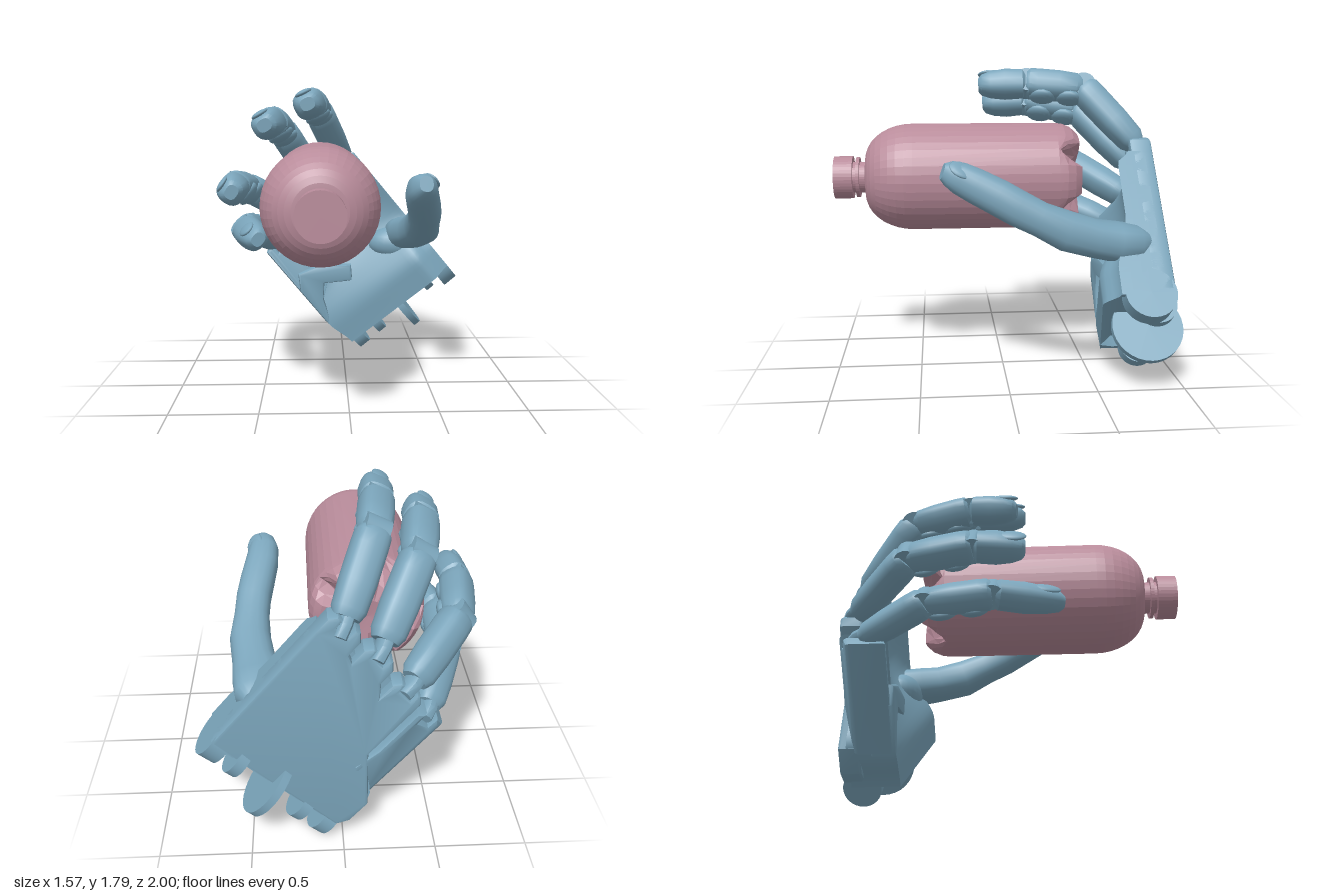
import * as THREE from 'three';
import { toCreasedNormals } from 'three/addons/utils/BufferGeometryUtils.js';

const handMat = new THREE.MeshStandardMaterial({ color: 0x7ba5bb });
const bottleMat = new THREE.MeshStandardMaterial({ color: 0xb98c9b });
const V = (x, y, z) => new THREE.Vector3(x, y, z);
const { lerp, smoothstep } = THREE.MathUtils;

function add(parent, name, geo, mat = handMat, crease = 0.6) {
  const mesh = new THREE.Mesh(toCreasedNormals(geo, crease), mat);
  mesh.name = name;
  parent.add(mesh);
  return mesh;
}

// Skin of rounded-box rings; stations are [centre, halfWidth, halfHeight], side is the width direction
function loft(stations, side, n = 20, power = 0.75) {
  const pos = [], idx = [], last = stations.length - 1;
  const bend = (c) => Math.sign(c) * Math.abs(c) ** power;
  stations.forEach(([p, w, h], i) => {
    const T = stations[Math.min(i + 1, last)][0].clone().sub(stations[Math.max(i - 1, 0)][0]).normalize();
    const N = side.clone().addScaledVector(T, -side.dot(T)).normalize();
    const B = T.clone().cross(N);
    for (let j = 0; j < n; j++) {
      const a = (j / n) * Math.PI * 2;
      const q = p.clone().addScaledVector(N, w * bend(Math.cos(a))).addScaledVector(B, h * bend(Math.sin(a)));
      pos.push(q.x, q.y, q.z);
    }
  });
  const c0 = pos.length / 3;
  for (const i of [0, last]) pos.push(...stations[i][0].toArray());
  for (let j = 0; j < n; j++) {
    const k = (j + 1) % n;
    for (let i = 0; i < last; i++) {
      const a = i * n + j, b = i * n + k;
      idx.push(a, b, b + n, a, b + n, a + n);
    }
    idx.push(c0, k, j, c0 + 1, last * n + j, last * n + k);
  }
  const geo = new THREE.BufferGeometry();
  geo.setAttribute('position', new THREE.Float32BufferAttribute(pos, 3));
  geo.setIndex(idx);
  return geo;
}

// Extruded bevelled plate between two depths, optionally tilted across the hand
function plate(points, z0, z1, tilt = 0, bevel = 0.018) {
  const shape = new THREE.Shape(points.map(([x, y]) => new THREE.Vector2(x, y)));
  const geo = new THREE.ExtrudeGeometry(shape, {
    depth: z1 - z0 - 2 * bevel, bevelThickness: bevel, bevelSize: bevel, bevelOffset: -bevel, bevelSegments: 2,
  });
  return geo.translate(0, 0, z0 + bevel).applyMatrix4(new THREE.Matrix4().makeShear(0, tilt, 0, 0, 0, 0));
}

// Flat oval nail, lying along T with its face towards up
function addNail(parent, at, T, up, w, len) {
  const nail = add(parent, 'nail', new THREE.SphereGeometry(1, 16, 10), handMat, 1);
  const S = T.clone().cross(up).normalize();
  const U = S.clone().cross(T).normalize();
  const m = new THREE.Matrix4().makeBasis(S, U, T.clone().negate()).scale(V(w, 0.018, len)).setPosition(at);
  nail.applyMatrix4(m);
}

// Jointed finger through base, two knuckles and tip
function addFinger(parent, name, pts, scale) {
  const g = new THREE.Group();
  g.name = name;
  parent.add(g);
  const p = pts.map((a) => V(...a));
  const side = V(p[1].y - p[0].y, p[0].x - p[1].x, 0).normalize();
  const start = p[0].clone().lerp(p[1], 0.06);
  const W = 0.095 * scale, H = 0.09 * scale;
  // tongue that enters the slot of the hand
  add(g, 'knuckleTongue', loft([[p[0].clone().lerp(p[1], -0.14), 0.035, 0.04], [p[0], 0.04, 0.06],
    [p[0].clone().lerp(p[1], 0.3), 0.04, 0.05]], side, 12));
  // profiles: [position along, width factor, height factor]
  const body = [[0.01, 0.74, 0.62], [0.1, 0.93, 0.86], [0.4, 1, 0.97], [0.8, 1, 1], [0.94, 0.98, 0.97], [0.995, 0.85, 0.8]];
  const tip = [[0.02, 0.75, 0.7], [0.08, 0.94, 0.92], [0.45, 0.99, 0.96], [0.75, 0.88, 0.83], [0.93, 0.7, 0.64], [1, 0.45, 0.4]];
  ['proximalSegment', 'middleSegment', 'fingertip'].forEach((label, i) => {
    const a = i ? p[i] : start, b = p[i + 1];
    add(g, label, loft((i === 2 ? tip : body).map(([f, w, h]) => [a.clone().lerp(b, f), W * w, H * h]), side));
    const T = b.clone().sub(a).normalize(), up = T.clone().cross(side);
    if (i === 2) addNail(g, a.clone().lerp(b, 0.73).addScaledVector(up, H * 0.77), T, up, W * 0.55, 0.08);
    // soft pads on the gripping side
    else if (i === 1) for (const f of [0.22, 0.7]) {
      const pad = add(g, 'pad', new THREE.SphereGeometry(1, 14, 10), handMat, 1);
      pad.applyMatrix4(new THREE.Matrix4().makeBasis(side, up, T).scale(V(W * 0.85, 0.04, 0.085))
        .setPosition(a.clone().lerp(b, f).addScaledVector(up, -H * 0.82)));
    }
  });
  // hinge barrels between the segments
  for (const q of [p[1], p[2]]) {
    const pin = add(g, 'hinge', new THREE.CylinderGeometry(H * 0.8, H * 0.8, W * 1.4, 18));
    pin.quaternion.setFromUnitVectors(V(0, 1, 0), side);
    pin.position.copy(q);
  }
}

function addPalm(parent) {
  // local frame: x across towards the thumb, y towards the fingers
  const palm = new THREE.Group();
  palm.name = 'palm';
  palm.position.set(0.06, 0.09, 0);
  palm.rotation.z = 0.693;
  parent.add(palm);

  // back plate with a rounded lobe under each finger
  const outline = [[0, 0.03], [0.84, 0.03]];
  for (const [c, w, top] of [[0.735, 0.105, 1.02], [0.5, 0.095, 1.0], [0.265, 0.095, 0.94]]) {
    outline.push([c + w, top - 0.13], [c + w, top - 0.04], [c + w - 0.035, top], [c + 0.04, top], [c + 0.035, top - 0.05],
      [c - 0.035, top - 0.05], [c - 0.04, top], [c - w + 0.035, top], [c - w, top - 0.04], [c - w, top - 0.13]);
  }
  outline.push([0.17, 0.5], [-0.04, 0.25], [-0.04, 0.1]);
  add(palm, 'backPlate', plate(outline, -0.93, -0.8, 0.075));

  // fleshy front: thick heel mound, dished centre, thinner towards the knuckles, hollowed wrist end
  const body = new THREE.BoxGeometry(1, 1, 1, 28, 28, 4);
  const p = body.attributes.position;
  for (let i = 0; i < p.count; i++) {
    const X = p.getX(i) + 0.5, s = (p.getY(i) + 0.5) * 0.9;
    const left = lerp(-0.04 * smoothstep(s, 0, 0.2), 0.18, smoothstep(s, 0.25, 0.5));
    const t = lerp(left, 0.84, X);
    const heel = (0.05 + 0.13 * Math.min(X, 0.84)) * (1 - smoothstep(s, 0.15, 0.5));
    const edge = 0.08 * smoothstep(X, 0.84, 1) * (1 - smoothstep(s, 0.2, 0.5));
    const dish = 0.08 * Math.sin(Math.PI * X) * smoothstep(s, 0.35, 0.65);
    const front = -0.65 + heel - edge - dish - 0.07 * smoothstep(s, 0.82, 0.9);
    const hollow = s === 0 && X > 0.05 && X < 0.95 && Math.abs(p.getZ(i)) < 0.3 ? 0.06 : 0;
    p.setXYZ(i, t, s + hollow, lerp(-0.88 + 0.075 * t, front, p.getZ(i) + 0.5));
  }
  add(palm, 'palmFlesh', body, handMat, 0.7);

  // little-finger bar, tilted forwards, with a forked end and a hooked foot
  add(palm, 'littleFingerBar', plate([[-0.05, 0.22], [0.08, 0.2], [0.18, 0.4], [0.14, 0.55], [0.14, 0.85], [0.09, 0.87],
    [0.085, 0.8], [0.015, 0.8], [0.01, 0.87], [-0.05, 0.85]], -0.86, -0.63, -0.4, 0.025));
  add(palm, 'barFoot', plate([[-0.045, 0.2], [-0.01, 0.22], [0.044, 0.36], [0.116, 0.437], [0.275, 0.33], [0.338, 0.42],
    [0.162, 0.556], [0.02, 0.6], [-0.045, 0.5]], -0.75, -0.6));

  // wrist hinge tabs and the larger wheel: [across, along, depth, radius, width]
  for (const [t, s, z, r, w] of [[0.04, -0.01, -0.82, 0.11, 0.08], [0.2, -0.01, -0.82, 0.11, 0.06],
    [0.65, 0.01, -0.8, 0.11, 0.06], [0.79, 0.01, -0.73, 0.14, 0.1], [0.42, -0.03, -0.795, 0.205, 0.045]]) {
    const tab = add(palm, r > 0.2 ? 'wristWheel' : 'wristTab', new THREE.CylinderGeometry(r, r, w, 32));
    tab.rotation.z = Math.PI / 2;
    tab.position.set(t, s, z);
  }
}

function addThumb(parent) {
  const g = new THREE.Group();
  g.name = 'thumb';
  parent.add(g);
  const st = [[0.41, 0.85, -0.76, 0.1, 0.06], [0.42, 0.845, -0.7, 0.14, 0.1], [0.44, 0.855, -0.58, 0.14, 0.11],
    [0.465, 0.88, -0.46, 0.12, 0.105], [0.49, 0.93, -0.3, 0.115, 0.11], [0.485, 0.995, -0.16, 0.1, 0.095],
    [0.475, 1.055, -0.04, 0.1, 0.1], [0.455, 1.11, 0.06, 0.1, 0.1], [0.43, 1.17, 0.18, 0.097, 0.096],
    [0.42, 1.215, 0.27, 0.088, 0.088], [0.425, 1.24, 0.325, 0.07, 0.07], [0.43, 1.252, 0.36, 0.04, 0.045]];
  add(g, 'thumbBody', loft(st.map(([x, y, z, w, h]) => [V(x, y, z), w, h]), V(1, 0, 0), 20, 0.8), handMat, 0.8);
  addNail(g, V(0.472, 1.262, 0.255), V(-0.05, 0.42, 0.9).normalize(), V(0.6, 0.75, -0.2), 0.055, 0.075);
  // socket mound around the root
  const socket = add(g, 'thumbSocket', new THREE.SphereGeometry(1, 24, 14), handMat, 1);
  socket.scale.set(0.2, 0.12, 0.13);
  socket.position.set(0.37, 0.77, -0.68);
}

function addBottle(parent) {
  const prof = [[0, -0.44], [0.1, -0.45], [0.18, -0.46], [0.26, -0.46], [0.295, -0.42], [0.315, -0.37], [0.32, -0.32], [0.32, 0.53]];
  for (let i = 1; i <= 9; i++) {
    const a = (i / 9) * Math.PI / 2;
    prof.push([0.11 + 0.21 * Math.cos(a), 0.53 + 0.285 * Math.sin(a)]);
  }
  prof.push([0.092, 0.815], [0.092, 0.85], [0.12, 0.85], [0.12, 0.87], [0.092, 0.87], [0.092, 0.89],
    [0.127, 0.89], [0.127, 1], [0, 1]);
  const geo = new THREE.LatheGeometry(prof.map(([r, y]) => new THREE.Vector2(r, y)), 40).rotateX(Math.PI / 2);
  // five V-shaped grooves in the rim of the base
  const p = geo.attributes.position, step = Math.PI * 0.4;
  for (let i = 0; i < p.count; i++) {
    const z = p.getZ(i);
    if (z > -0.33) continue;
    const k = Math.atan2(p.getY(i), p.getX(i)) / step - 0.5;
    const w = Math.max(0, 1 - Math.abs(k - Math.round(k)) * step / 0.3);
    const r = Math.hypot(p.getX(i), p.getY(i));
    p.setZ(i, z + w * smoothstep(r, 0.1, 0.27) * 0.95 * (-0.33 - z));
  }
  add(parent, 'bottle', geo, bottleMat, 0.12).position.set(-0.155, 1.146, 0);
}

export function createModel() {
  const model = new THREE.Group();
  model.name = 'handHoldingBottle';
  addPalm(model);
  addThumb(model);
  addFinger(model, 'indexFinger', [[0.0, 1.32, -0.82], [-0.17, 1.675, -0.5], [-0.21, 1.7, -0.16], [-0.225, 1.69, 0.13]], 1);
  addFinger(model, 'middleFinger', [[-0.19, 1.19, -0.83], [-0.4, 1.54, -0.51], [-0.45, 1.59, -0.18], [-0.475, 1.57, 0.09]], 1.02);
  addFinger(model, 'ringFinger', [[-0.34, 0.97, -0.84], [-0.63, 1.17, -0.5], [-0.68, 1.2, -0.14], [-0.665, 1.19, 0.14]], 1);
  addFinger(model, 'littleFinger', [[-0.44, 0.77, -0.78], [-0.59, 0.92, -0.4], [-0.6, 0.95, -0.04], [-0.5, 0.945, 0.34]], 0.95);
  addBottle(model);
  return model;
}
